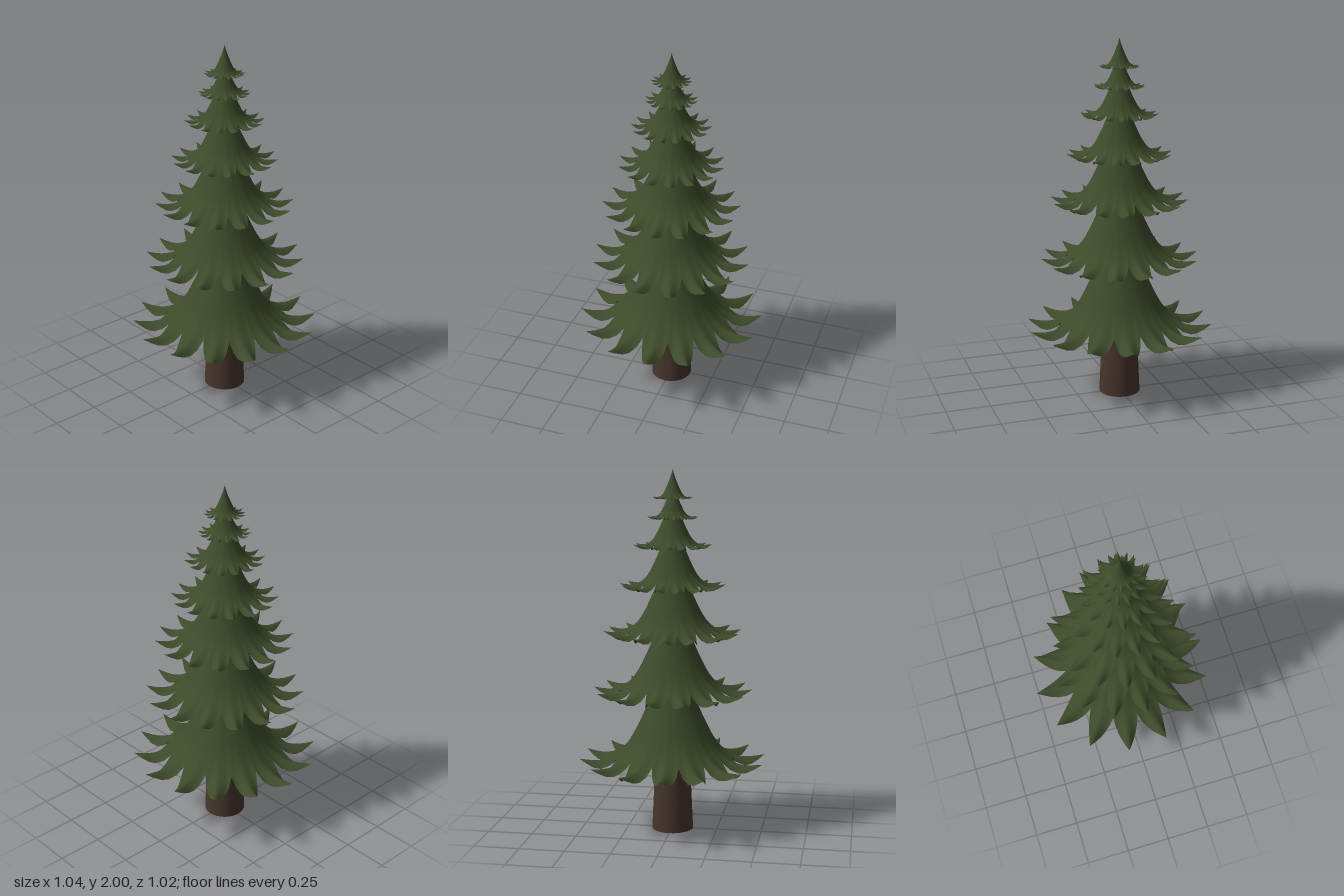
import * as THREE from 'three';

const SPIKES = 14;
const ROWS = 18;

// Skirt profile in units of the tier radius: (distance from axis, height above tips)
const PROFILE = new THREE.SplineCurve([
  [0, 1.36], [0.07, 1.09], [0.14, 0.9], [0.2, 0.74], [0.3, 0.5], [0.38, 0.33], [0.46, 0.18],
  [0.56, 0.07], [0.68, 0.0], [0.82, -0.02], [1, 0],
].map(([x, y]) => new THREE.Vector2(x, y))).getPoints(100);

// Edge of half a spike: (0 at tip .. 1 at notch, reach)
const EDGE = [[0, 1], [0.16, 0.93], [0.36, 0.85], [0.55, 0.78], [0.78, 0.7], [1, 0.62]];

function heightAt(r) {
  const i = Math.max(1, PROFILE.findIndex((p) => p.x >= r - 1e-6));
  const a = PROFILE[i - 1], b = PROFILE[i];
  return THREE.MathUtils.mapLinear(r, a.x, b.x, a.y, b.y);
}

// One flared skirt of branches with a star-shaped, drooping hem
function skirtGeometry(radius, tipY, turn) {
  const columns = [];
  const half = Math.PI / SPIKES;
  for (let k = 0; k < SPIKES; k++) {
    const mid = turn + k * 2 * half;
    for (let e = EDGE.length - 1; e > 0; e--) columns.push([mid - EDGE[e][0] * half, ...EDGE[e]]);
    for (let e = 0; e < EDGE.length - 1; e++) columns.push([mid + EDGE[e][0] * half, ...EDGE[e]]);
  }
  const n = columns.length;
  const positions = [], index = [];
  for (let i = 0; i <= ROWS; i++) {
    const t = i / ROWS;
    for (const [angle, s, reach] of columns) {
      const r = reach * t;
      const droop = 0.075 * t ** 5 * Math.sin(Math.PI * s);
      positions.push(
        Math.cos(angle) * r * radius,
        tipY + (heightAt(r) - droop) * radius,
        Math.sin(angle) * r * radius,
      );
    }
  }
  for (let i = 0; i < ROWS; i++) {
    for (let j = 0; j < n; j++) {
      const a = i * n + j, b = i * n + (j + 1) % n;
      if (i > 0) index.push(a, b, a + n);
      index.push(b, b + n, a + n);
    }
  }
  const geometry = new THREE.BufferGeometry();
  geometry.setAttribute('position', new THREE.Float32BufferAttribute(positions, 3));
  geometry.setIndex(index);
  geometry.computeVertexNormals();
  return geometry;
}

export function createModel() {
  const tree = new THREE.Group();
  tree.name = 'firTree';

  const needles = new THREE.MeshStandardMaterial({ color: 0x3d4a2a, side: THREE.DoubleSide });
  const bark = new THREE.MeshStandardMaterial({ color: 0x46352b });

  // Tapered trunk, running up inside the lowest skirt
  const trunk = new THREE.Mesh(new THREE.CylinderGeometry(0.08, 0.115, 0.75, 32), bark);
  trunk.name = 'trunk';
  trunk.position.y = 0.375;
  tree.add(trunk);

  // Branch tiers from bottom to top: radius, height of the spike tips
  const tiers = [
    [0.52, 0.41], [0.44, 0.8], [0.38, 1.125], [0.29, 1.38],
    [0.215, 1.595], [0.14, 1.745], [0.11, 1.85],
  ];
  tiers.forEach(([radius, tipY], i) => {
    const turn = THREE.MathUtils.degToRad(i % 2 ? 8.5 : -2.2);
    const skirt = new THREE.Mesh(skirtGeometry(radius, tipY, turn), needles);
    skirt.name = `branchTier${i + 1}`;
    tree.add(skirt);
  });

  return tree;
}
